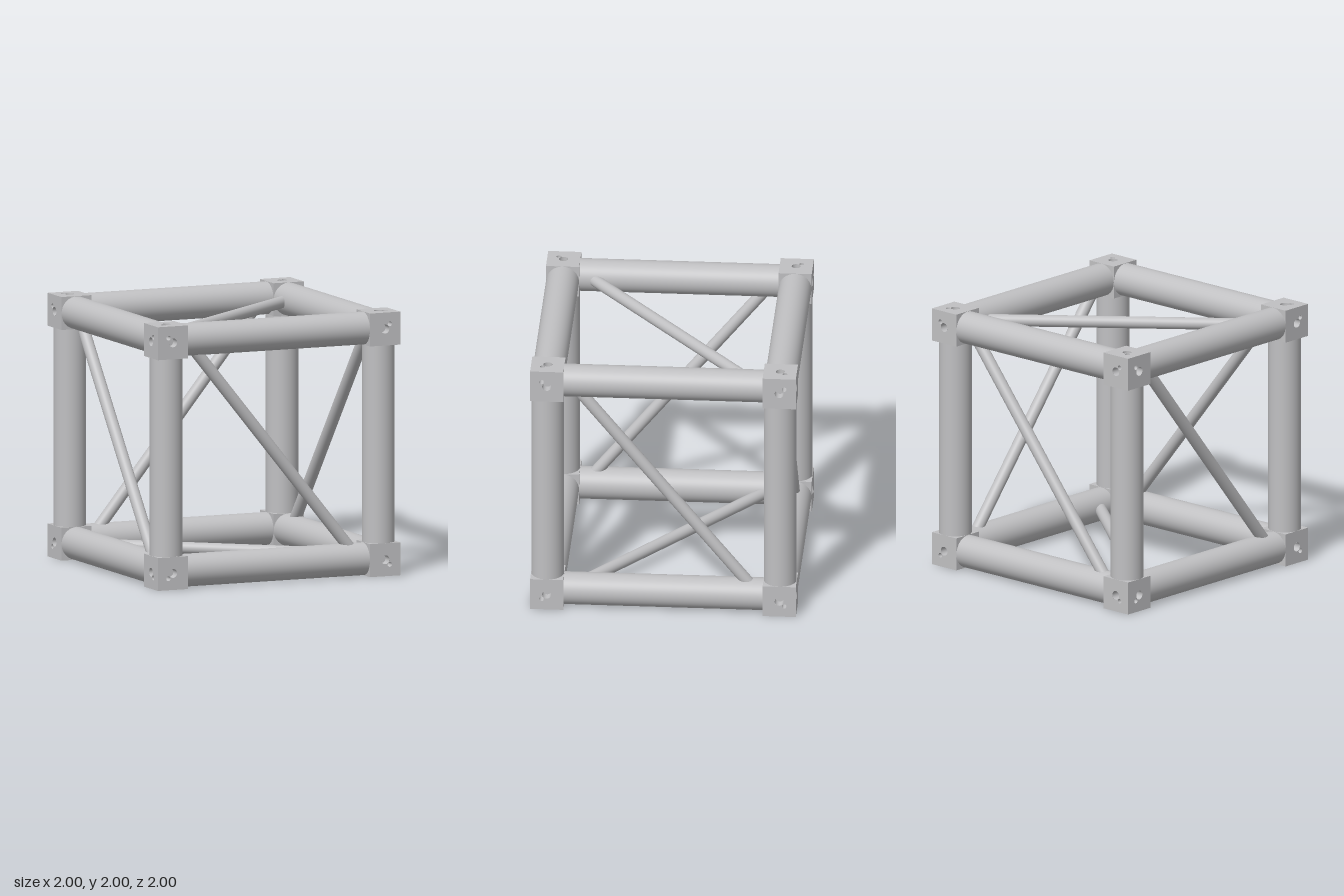
import * as THREE from 'three';
import { mergeGeometries } from 'three/addons/utils/BufferGeometryUtils.js';

const BLOCK = 0.25, HALF = BLOCK / 2;
const C = 1 - HALF;          // distance of block centres from the cube centre
const D = 0.71;              // short reach of the diagonal braces
const HOLES = [{ r: 0.034, o: 0 }, { r: 0.018, o: 0.038 }];
const HOLE_DEPTH = 0.07;

// Outer block face: square plate pierced by a large and a small blind hole, facing +z
function drilledFace() {
  const s = new THREE.Shape();
  s.moveTo(-HALF, -HALF).lineTo(HALF, -HALF).lineTo(HALF, HALF).lineTo(-HALF, HALF).closePath();
  const parts = [];
  for (const { r, o } of HOLES) {
    s.holes.push(new THREE.Path().absarc(o, o, r, 0, Math.PI * 2, true));
    const wall = new THREE.LatheGeometry(
      [new THREE.Vector2(r, 0), new THREE.Vector2(r, -HOLE_DEPTH)], 24);
    parts.push(wall.rotateX(Math.PI / 2).translate(o, o, 0));
    parts.push(new THREE.CircleGeometry(r, 24).translate(o, o, -HOLE_DEPTH));
  }
  parts.unshift(new THREE.ShapeGeometry(s, 24));
  return mergeGeometries(parts).translate(0, 0, HALF);
}

// Block with drilled faces outwards and plain faces inwards; s holds the corner signs
function blockGeometry(s) {
  const unit = [0, 1, 2].map(i => new THREE.Vector3().setComponent(i, s[i]));
  const faces = [];
  for (let i = 0; i < 3; i++) {
    const n = unit[i];
    let u = unit[(i + 1) % 3], v = unit[(i + 2) % 3];
    if (new THREE.Vector3().crossVectors(u, v).dot(n) < 0) [u, v] = [v, u];
    faces.push(drilledFace().applyMatrix4(new THREE.Matrix4().makeBasis(u, v, n)));
    const inner = new THREE.PlaneGeometry(BLOCK, BLOCK).translate(0, 0, HALF);
    faces.push(inner.applyMatrix4(new THREE.Matrix4().makeBasis(v, u, n.clone().negate())));
  }
  return mergeGeometries(faces);
}

export function createModel() {
  const model = new THREE.Group();
  model.name = 'cubeFrame';
  const metal = new THREE.MeshStandardMaterial({ color: 0xc0c0c2, side: THREE.DoubleSide });
  metal.name = 'light grey metal';

  // Round bar between two points measured from the cube centre
  const bar = (name, a, b, radius, open) => {
    const p = new THREE.Vector3(...a), q = new THREE.Vector3(...b);
    const dir = q.clone().sub(p);
    const m = new THREE.Mesh(
      new THREE.CylinderGeometry(radius, radius, dir.length(), open ? 48 : 32, 1, open), metal);
    m.name = name;
    m.position.copy(p).add(q).multiplyScalar(0.5);
    m.position.y += 1;
    m.quaternion.setFromUnitVectors(new THREE.Vector3(0, 1, 0), dir.normalize());
    model.add(m);
  };

  // Eight corner blocks
  for (const x of [-1, 1]) for (const y of [-1, 1]) for (const z of [-1, 1]) {
    const block = new THREE.Mesh(blockGeometry([x, y, z]), metal);
    block.name = 'cornerBlock';
    block.position.set(x * C, y * C + 1, z * C);
    model.add(block);
  }

  // Twelve edge tubes between the blocks
  const reach = C - HALF;
  ['crossTube', 'uprightTube', 'depthTube'].forEach((name, axis) => {
    for (const s of [-C, C]) for (const t of [-C, C]) {
      const a = [0, 0, 0];
      a[(axis + 1) % 3] = s;
      a[(axis + 2) % 3] = t;
      const b = [...a];
      a[axis] = -reach;
      b[axis] = reach;
      bar(name, a, b, 0.1235, true);
    }
  });

  // One diagonal brace per side, opposite sides crossing
  for (const s of [-1, 1]) {
    bar(s > 0 ? 'frontBrace' : 'backBrace', [-s * D, C, s * C], [s * D, -C, s * C], 0.045, false);
    bar(s > 0 ? 'leftBrace' : 'rightBrace', [s * C, C, s * D], [s * C, -C, -s * D], 0.045, false);
    bar(s > 0 ? 'topBrace' : 'bottomBrace', [-C, s * C, s * D], [C, s * C, -s * D], 0.045, false);
  }
  return model;
}
